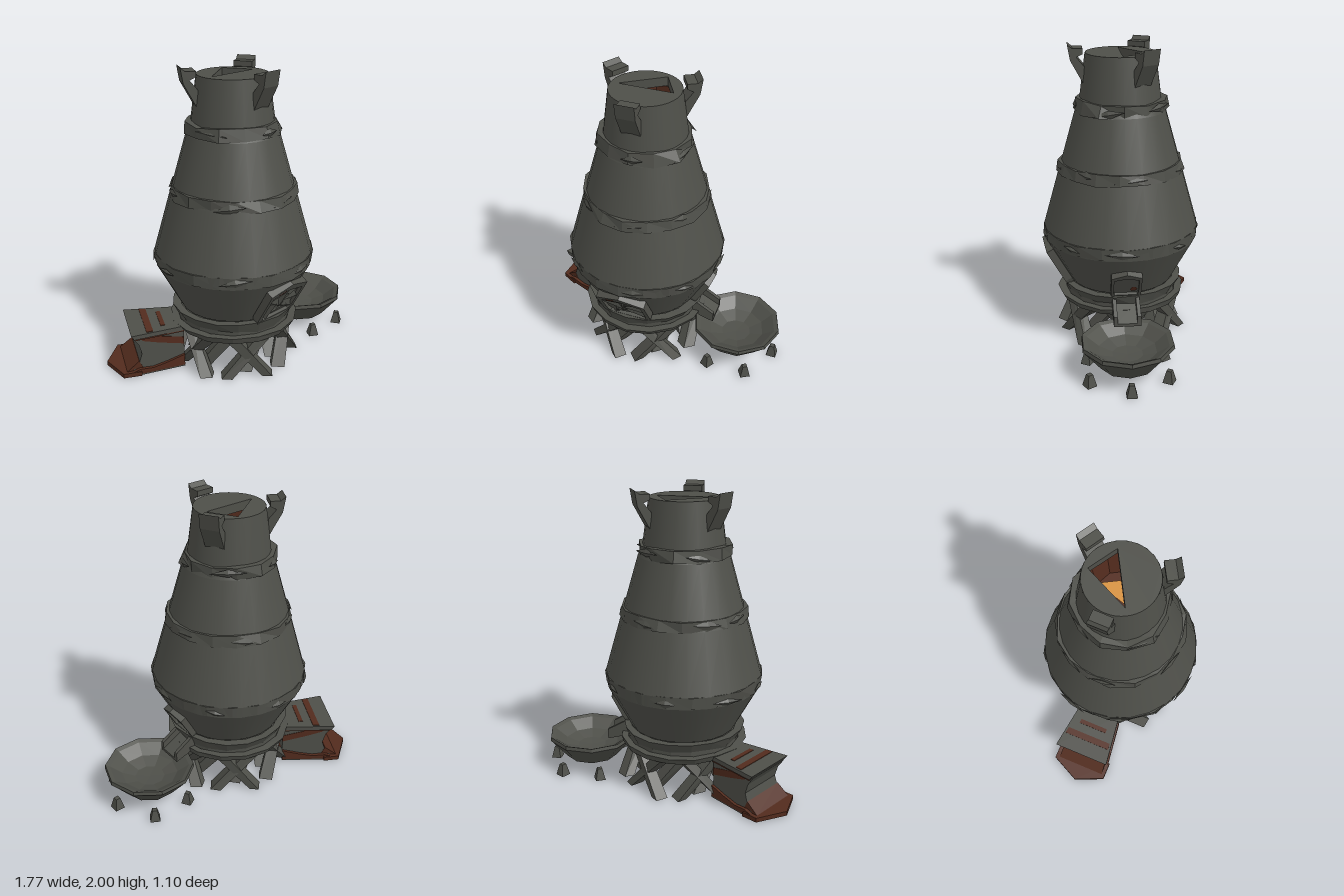
import * as THREE from 'three';

export function createModel() {
  const model = new THREE.Group();
  const mat = (name, color, flatShading = true) => {
    const m = new THREE.MeshStandardMaterial({ color, side: THREE.DoubleSide, flatShading });
    m.name = name;
    return m;
  };
  const iron = mat('dark iron', 0x4e4f49);
  const smoothIron = mat('dark iron smooth', 0x4e4f49, false);
  const rust = mat('rust', 0x522b1d);
  const glow = mat('molten glow', 0xd8923f);

  let seed = 7;
  const rnd = (a, b) => {
    seed = (seed * 16807) % 2147483647;
    return a + (b - a) * (seed / 2147483647);
  };
  const add = (parent, name, geo, m, x = 0, y = 0, z = 0) => {
    const mesh = new THREE.Mesh(geo, m);
    mesh.name = name;
    mesh.position.set(x, y, z);
    parent.add(mesh);
    return mesh;
  };
  const group = (parent, name, x = 0, y = 0, z = 0) => {
    const g = new THREE.Group();
    g.name = name;
    g.position.set(x, y, z);
    parent.add(g);
    return g;
  };
  const poly = pts => new THREE.Shape(pts.map(p => new THREE.Vector2(p[0], p[1])));
  const slab = (pts, depth, hole) => {
    const s = poly(pts);
    if (hole) s.holes.push(poly(hole));
    return new THREE.ExtrudeGeometry(s, { depth, bevelEnabled: false });
  };

  const furnace = group(model, 'furnace', -0.1, 0, 0.015);

  // Tapering shell sections
  const shell = [[0.40, 0.36], [0.70, 0.52], [0.78, 0.525], [1.17, 0.415], [1.235, 0.395],
    [1.57, 0.30], [1.64, 0.27], [1.94, 0.23]];
  for (let i = 0; i < shell.length - 1; i++) {
    const [y0, r0] = shell[i], [y1, r1] = shell[i + 1];
    add(furnace, 'shellSection', new THREE.CylinderGeometry(r1, r0, y1 - y0, 24, 1, true), smoothIron, 0, (y0 + y1) / 2, 0);
  }

  // Battered hoops: closed loops of a jittered four-point section
  const hoop = (name, y0, y1, r0, r1, n, jitter) => {
    const pos = [], idx = [];
    for (let i = 0; i < n; i++) {
      const a = (i / n) * Math.PI * 2;
      const section = [[r0 - 0.05, y0], [r0, y0], [r1, y1], [r1 - 0.05, y1]];
      section.forEach(([r, y], k) => {
        const rr = r + (k === 1 || k === 2 ? rnd(-jitter, jitter) : 0);
        pos.push(Math.sin(a) * rr, y + rnd(-jitter, jitter) * 0.5, Math.cos(a) * rr);
        const p = i * 4 + k, q = i * 4 + (k + 1) % 4, s = ((i + 1) % n) * 4;
        idx.push(p, s + k, q, q, s + k, s + (k + 1) % 4);
      });
    }
    const g = new THREE.BufferGeometry();
    g.setAttribute('position', new THREE.Float32BufferAttribute(pos, 3));
    g.setIndex(idx);
    g.computeVertexNormals();
    add(furnace, name, g, iron);
  };
  hoop('lowerHoop', 0.705, 0.782, 0.525, 0.53, 20, 0.007);
  hoop('middleHoop', 1.165, 1.235, 0.422, 0.412, 17, 0.012);
  hoop('upperHoop', 1.572, 1.65, 0.312, 0.298, 12, 0.018);
  hoop('baseCollar', 0.315, 0.40, 0.375, 0.415, 18, 0.008);
  hoop('baseRing', 0.268, 0.31, 0.415, 0.435, 16, 0.006);
  add(furnace, 'baseFloor', new THREE.CylinderGeometry(0.38, 0.38, 0.10, 18), iron, 0, 0.34, 0);
  add(furnace, 'rustyHopper', new THREE.CylinderGeometry(0.32, 0.19, 0.13, 10), rust, 0, 0.225, 0);
  add(furnace, 'hopperPlug', new THREE.CylinderGeometry(0.21, 0.16, 0.04, 8), iron, 0, 0.15, 0);

  // Long dents beaten into the hoops
  [[0.74, 0.525, 8], [1.2, 0.41, 7], [1.61, 0.3, 5]].forEach(([y, r, n]) => {
    for (let i = 0; i < n; i++) {
      const a = (i / n) * Math.PI * 2 + rnd(-0.2, 0.2);
      const dent = add(furnace, 'hoopDent', new THREE.OctahedronGeometry(1, 0), iron, Math.sin(a) * r, y + rnd(-0.015, 0.015), Math.cos(a) * r);
      dent.scale.set(rnd(0.06, 0.12), rnd(0.015, 0.035), 0.014);
      dent.rotation.set(0, a, rnd(-0.2, 0.2), 'YXZ');
    }
  });

  // Thick top plate with a broken opening, rusty throat and glow
  const lid = new THREE.Shape().absarc(0, 0, 0.228, 0, Math.PI * 2);
  lid.holes.push(poly([[-0.18, 0], [0.08, 0.18], [0.18, 0]]));
  const lidGeo = new THREE.ExtrudeGeometry(lid, { depth: 0.06, bevelEnabled: false, curveSegments: 24 });
  add(furnace, 'topPlate', lidGeo, iron, 0, 1.882, 0).rotation.x = -Math.PI / 2;
  add(furnace, 'throat', new THREE.CylinderGeometry(0.2, 0.16, 0.21, 10, 1, true), rust, 0, 1.775, 0);
  add(furnace, 'throatFloor', new THREE.CircleGeometry(0.17, 10), rust, 0, 1.67, 0).rotation.x = -Math.PI / 2;
  add(furnace, 'moltenGlow', new THREE.ShapeGeometry(poly([[-0.06, -0.01], [0.09, -0.01], [0.09, 0.135]])), glow, 0, 1.69, 0).rotation.x = -Math.PI / 2;

  // Three bent prongs around the mouth
  const prong = [[0.24, 1.745], [0.325, 1.90], [0.342, 2.0], [0.31, 1.975], [0.245, 1.975], [0.245, 1.94], [0.285, 1.92], [0.235, 1.86]];
  for (let i = 0; i < 3; i++) {
    const g = slab(prong, 0.125);
    g.translate(0, 0, -0.0625);
    add(furnace, 'mouthProng', g, iron).rotation.y = -Math.PI / 2 + i * Math.PI * 2 / 3;
  }

  // Peaked openings lying on the lower slope
  const portal = (name, turn, w, h, depth, out) => {
    const arm = group(furnace, name);
    arm.rotation.y = turn;
    const p = group(arm, name + 'Tilt', 0, 0.41, out);
    p.rotation.x = 0.515;
    const arch = (s, b) => [[-w * 0.9 * s, b], [w * 0.9 * s, b], [w * s, h * 0.1 + b], [w * s, h * (0.3 + 0.54 * s)],
      [0, h * (0.08 + 0.92 * s)], [-w * s, h * (0.3 + 0.54 * s)], [-w * s, h * 0.1 + b]];
    add(p, name + 'Frame', slab(arch(1, 0), depth, arch(0.82, 0.025)), iron);
    add(p, name + 'Back', new THREE.ShapeGeometry(poly(arch(0.9, 0.01))), iron, 0, 0, 0.03);
    return p;
  };
  const door = portal('door', 0, 0.168, 0.335, 0.052, 0.33);
  for (let i = 0; i < 9; i++) {
    const shard = add(door, 'slagShard', new THREE.TetrahedronGeometry(0.095), iron, ((i % 3) - 1) * 0.07, 0.085 + Math.floor(i / 3) * 0.075, 0.028);
    shard.scale.z = 0.35;
    shard.rotation.z = rnd(0, 6);
  }
  add(door, 'doorRust', new THREE.BoxGeometry(0.06, 0.01, 0.008), rust, -0.07, 0.282, 0.052).rotation.z = 0.3;

  const tap = portal('tapHole', Math.PI / 2, 0.1, 0.245, 0.05, 0.34);
  add(tap, 'tapRust', new THREE.CircleGeometry(0.024, 6), rust, 0.05, 0.07, 0.036);

  // Short chute below the tap hole
  const chute = group(furnace, 'chute');
  const cheek = [[0.37, 0.40], [0.52, 0.31], [0.52, 0.24], [0.42, 0.27], [0.37, 0.31]];
  for (const z of [-0.09, 0.065]) add(chute, 'chuteCheek', slab(cheek, 0.025), iron, 0, 0, z);
  add(chute, 'chuteFloor', slab([[0.37, 0.34], [0.52, 0.26], [0.52, 0.24], [0.42, 0.27], [0.37, 0.31]], 0.15), iron, 0, 0, -0.075);

  // Crossed stilts under the base, feet trimmed flat to the ground
  const strut = (name, a0, r0, a1, r1, thick) => {
    const foot = new THREE.Vector3(Math.sin(a0) * r0, 0, Math.cos(a0) * r0);
    const head = new THREE.Vector3(Math.sin(a1) * r1, 0.285, Math.cos(a1) * r1);
    const d = head.clone().sub(foot);
    const g = new THREE.CylinderGeometry(thick * 0.8, thick, d.length(), 4);
    g.applyQuaternion(new THREE.Quaternion().setFromUnitVectors(new THREE.Vector3(0, 1, 0), d.normalize()));
    g.translate(...foot.add(head).multiplyScalar(0.5).toArray());
    const p = g.attributes.position;
    for (let i = 0; i < p.count; i++) p.setY(i, Math.min(0.305, p.getY(i) < 0.12 ? 0 : p.getY(i)));
    g.computeVertexNormals();
    add(furnace, name, g, iron);
  };
  for (let i = 0; i < 6; i++) {
    const a = (i / 6) * Math.PI * 2 + 0.5;
    strut('stilt', a - 0.36, 0.37, a + 0.38, 0.36, 0.065);
    strut('stilt', a + 0.36, 0.40, a - 0.3, 0.34, 0.06);
    strut('innerStilt', a, 0.28, a + 0.9, 0.22, 0.075);
  }

  // Flanged side block with a hollowed end
  const block = group(furnace, 'sideBlock');
  block.rotation.y = 2.63;
  const wide = (name, pts, half, m) => {
    const g = slab(pts, half * 2);
    g.translate(0, 0, -half);
    // Narrow towards the furnace
    const p = g.attributes.position;
    for (let i = 0; i < p.count; i++) p.setZ(i, p.getZ(i) * (0.75 + 0.25 * Math.min(1, (p.getX(i) - 0.38) / 0.36)));
    add(block, name, g, m);
  };
  wide('blockCore', [[0.38, 0.03], [0.74, 0.03], [0.69, 0.09], [0.67, 0.15], [0.69, 0.22], [0.73, 0.28], [0.38, 0.28]], 0.17, iron);
  wide('blockTopFlange', [[0.38, 0.275], [0.72, 0.275], [0.74, 0.305], [0.38, 0.305]], 0.195, iron);
  wide('blockFoot', [[0.38, 0.002], [0.76, 0.002], [0.75, 0.03], [0.38, 0.03]], 0.19, iron);
  wide('rustLip', [[0.38, 0.262], [0.71, 0.262], [0.72, 0.276], [0.38, 0.276]], 0.185, rust);
  wide('rustBand', [[0.68, 0.265], [0.58, 0.265], [0.38, 0.215], [0.38, 0.165], [0.55, 0.21], [0.66, 0.245]], 0.174, rust);
  wide('rustHem', [[0.38, 0.012], [0.76, 0.012], [0.74, 0.034], [0.69, 0.05], [0.6, 0.042], [0.5, 0.06], [0.38, 0.09]], 0.194, rust);
  wide('rustHeel', [[0.66, 0.035], [0.775, 0.035], [0.692, 0.10]], 0.172, rust);
  wide('rustStripe', [[0.59, 0.304], [0.635, 0.304], [0.635, 0.309], [0.59, 0.309]], 0.18, rust);
  wide('rustStripe', [[0.50, 0.304], [0.53, 0.304], [0.53, 0.309], [0.50, 0.309]], 0.12, rust);
  wide('rustSole', [[0.48, 0], [0.68, 0], [0.68, 0.004], [0.48, 0.004]], 0.1, rust);
  const toe = slab([[0.68, -0.195], [0.80, -0.195], [0.885, 0], [0.79, 0.2], [0.68, 0.2]], 0.03);
  toe.rotateX(Math.PI / 2);
  add(block, 'rustToe', toe, rust, 0, 0.035, 0);

  // Open casting bowl
  const bowl = group(model, 'bowl', 0.576, 0, 0.03);
  const profile = [[0, 0.065], [0.185, 0.068], [0.29, 0.195], [0.305, 0.21], [0.30, 0.235], [0.27, 0.222], [0.19, 0.165], [0.1, 0.135], [0, 0.13]];
  add(bowl, 'bowlShell', new THREE.LatheGeometry(profile.map(p => new THREE.Vector2(...p)), 10, Math.PI / 2), iron);

  // Bowl feet
  for (let i = 0; i < 5; i++) {
    const a = Math.PI / 2 + (i - 2) * Math.PI / 3;
    const foot = add(bowl, 'bowlFoot', new THREE.CylinderGeometry(0.022, 0.048, 0.08, 4), iron, Math.sin(a) * 0.27, 0.04, Math.cos(a) * 0.29);
    foot.rotation.y = a + Math.PI / 4;
  }
  return model;
}
